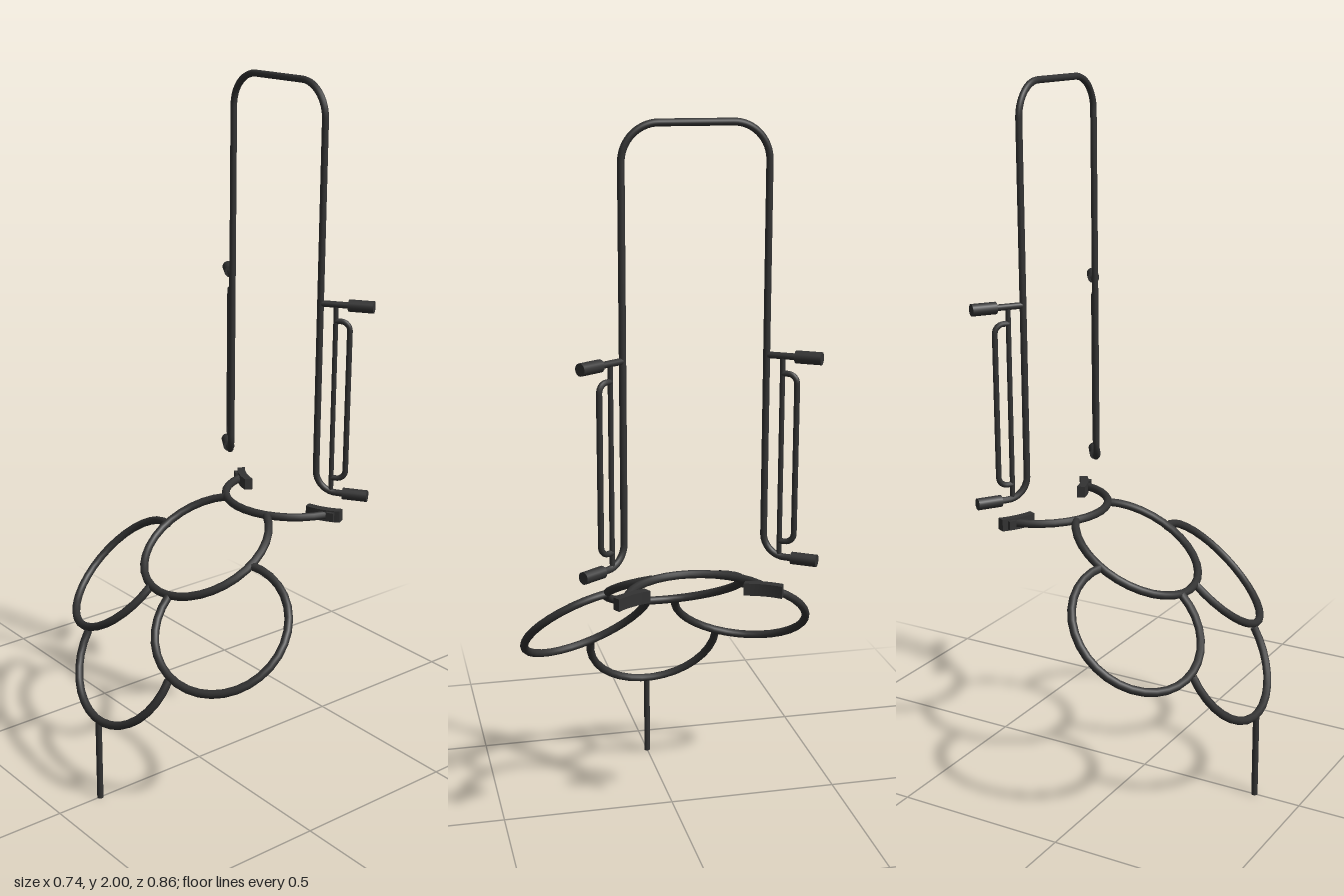
import * as THREE from 'three';

const V = (x, y, z) => new THREE.Vector3(x, y, z);
const dark = new THREE.MeshStandardMaterial({ color: 0x333333, side: THREE.DoubleSide });

function add(parent, name, geometry) {
  const mesh = new THREE.Mesh(geometry, dark);
  mesh.name = name;
  parent.add(mesh);
  return mesh;
}

// Straight capped rod between two points
function rod(parent, name, a, b, radius, sides = 12) {
  const mesh = add(parent, name, new THREE.CylinderGeometry(radius, radius, a.distanceTo(b), sides));
  mesh.position.copy(a).lerp(b, 0.5);
  mesh.quaternion.setFromUnitVectors(V(0, 1, 0), b.clone().sub(a).normalize());
}

// Bent rod through corner points, each inner corner rounded
function bentRod(parent, name, points, bend, radius, segments) {
  const path = new THREE.CurvePath();
  let from = points[0];
  for (let i = 1; i < points.length - 1; i++) {
    const p = points[i];
    const start = p.clone().addScaledVector(points[i - 1].clone().sub(p).normalize(), bend[i - 1]);
    const end = p.clone().addScaledVector(points[i + 1].clone().sub(p).normalize(), bend[i - 1]);
    path.add(new THREE.LineCurve3(from, start));
    path.add(new THREE.CubicBezierCurve3(start, start.clone().lerp(p, 0.55), end.clone().lerp(p, 0.55), end));
    from = end;
  }
  path.add(new THREE.LineCurve3(from, points[points.length - 1]));
  add(parent, name, new THREE.TubeGeometry(path, segments, radius, 10));
}

// Circular arc in the plane of u and v, angles in degrees from u
class Arc extends THREE.Curve {
  constructor(center, u, v, r, from, to) {
    super();
    Object.assign(this, { center, u, v, r, from, to });
  }
  getPoint(t, target = new THREE.Vector3()) {
    const a = THREE.MathUtils.degToRad(this.from + (this.to - this.from) * t);
    return target.copy(this.center)
      .addScaledVector(this.u, this.r * Math.cos(a))
      .addScaledVector(this.v, this.r * Math.sin(a));
  }
}
function ring(parent, name, center, u, v, from, to) {
  const curve = new Arc(center, u.normalize(), v.normalize(), 0.195, from, to);
  add(parent, name, new THREE.TubeGeometry(curve, Math.ceil((to - from) / 11), 0.0118, 10));
}

// Pad plate bowed so that its outer face is hollow
function bowedPlate() {
  const plate = new THREE.BoxGeometry(0.024, 0.034, 0.104, 1, 1, 8);
  const p = plate.attributes.position;
  for (let i = 0; i < p.count; i++) p.setX(i, p.getX(i) - 0.003 + 0.007 * (p.getZ(i) / 0.052) ** 2);
  plate.computeVertexNormals();
  return plate;
}

export function createModel() {
  const model = new THREE.Group();
  model.name = 'wireFrame';
  const Z = V(0, 0, 1);

  // Stem and the overlapping rings that climb from it
  rod(model, 'stem', V(-0.361, 0, 0), V(-0.361, 0.255, 0), 0.009);
  ring(model, 'lowerRing', V(-0.262, 0.418, 0), V(-0.5, -0.866, 0), Z.clone(), -92, 92);
  ring(model, 'middleRing', V(0.024, 0.685, 0), V(0.866, 0.5, 0), Z.clone(), 29, 331);
  ring(model, 'upperRing', V(0.347, 0.77, 0), V(-1, 0, 0), Z.clone(), -78, 78);

  for (const s of [1, -1]) {
    const side = new THREE.Group();
    side.name = s > 0 ? 'frontSide' : 'backSide';
    model.add(side);

    // Side ring, open where it meets the middle ring
    const normal = V(-0.634, 0.729, 0.253 * s);
    const u = V(0.047, 0.081, -0.109 * s).normalize();
    ring(side, 'sideRing', V(-0.105, 0.553, 0.231 * s), u, normal.cross(u), 40, 320);

    // Pad on the end of the upper ring
    const pad = new THREE.Group();
    pad.name = 'endPad';
    pad.position.set(0.313, 0.77, 0.181 * s);
    pad.rotation.y = Math.atan2(0.045, 0.09) * s;
    add(pad, 'padPlate', bowedPlate());
    add(pad, 'padBracket', new THREE.BoxGeometry(0.02, 0.026, 0.022)).position.set(-0.012, 0, 0.026 * s);
    side.add(pad);

    // Point at a distance outward from the upright
    const out = (d, y) => V(0.271 + 0.56 * d, y, (0.19 + 0.83 * d) * s);

    // Upper arm and the two grips
    rod(side, 'upperArm', out(0, 1.4), out(0.09, 1.4), 0.009);
    for (const y of [1.4, 0.854]) rod(side, 'grip', out(0.079, y), out(0.149, y), 0.0168, 16);

    // Guard rail and its looped handle
    rod(side, 'rail', out(0.044, 0.857), out(0.044, 1.4), 0.007);
    bentRod(side, 'railLoop', [out(0.044, 0.898), out(0.084, 0.898), out(0.084, 1.354), out(0.044, 1.354)],
      [0.025, 0.025], 0.008, 80);
  }

  // Tall arch whose feet turn outward into the lower grips
  bentRod(model, 'arch', [
    V(0.323, 0.854, 0.267), V(0.271, 0.854, 0.19), V(0.271, 1.99, 0.19),
    V(0.271, 1.99, -0.19), V(0.271, 0.854, -0.19), V(0.323, 0.854, -0.267),
  ], [0.06, 0.095, 0.095, 0.06], 0.0095, 260);

  return model;
}
